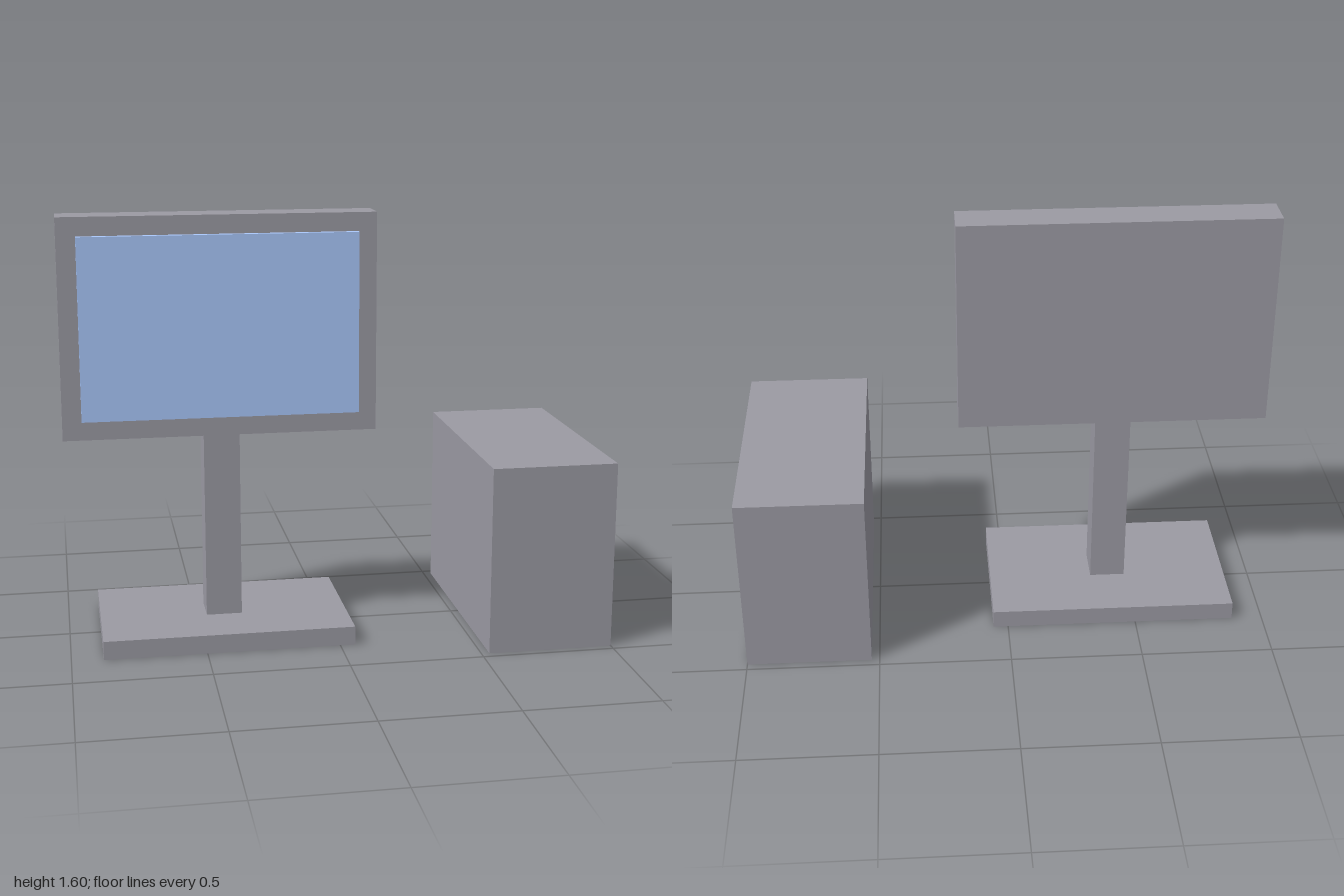
import * as THREE from 'three';

const casing = new THREE.MeshStandardMaterial({ color: 0x9b9aa3 });
const glass = new THREE.MeshStandardMaterial({ color: 0xaac8fc });

// Box given by its extents along each axis
function block(name, [x0, x1], [y0, y1], [z0, z1], material = casing) {
  const mesh = new THREE.Mesh(new THREE.BoxGeometry(x1 - x0, y1 - y0, z1 - z0), material);
  mesh.name = name;
  mesh.position.set((x0 + x1) / 2, (y0 + y1) / 2, (z0 + z1) / 2);
  return mesh;
}

export function createModel() {
  const model = new THREE.Group();
  model.name = 'desktopComputer';

  // Monitor on its stand
  const monitor = new THREE.Group();
  monitor.name = 'monitor';
  monitor.add(
    block('standBase', [-0.882, 0.057], [0, 0.07], [-0.294, 0.294]),
    block('standPost', [-0.48, -0.345], [0.07, 0.777], [-0.07, 0.07]),
    block('monitorCase', [-1, 0.175], [0.777, 1.6], [-0.07, 0.07]),
    block('screen', [-0.929, 0.105], [0.85, 1.53], [0.07, 0.094], glass),
  );

  // Computer case standing beside it
  model.add(monitor, block('computerTower', [0.53, 1], [0, 0.707], [-0.47, 0.47]));
  return model;
}
